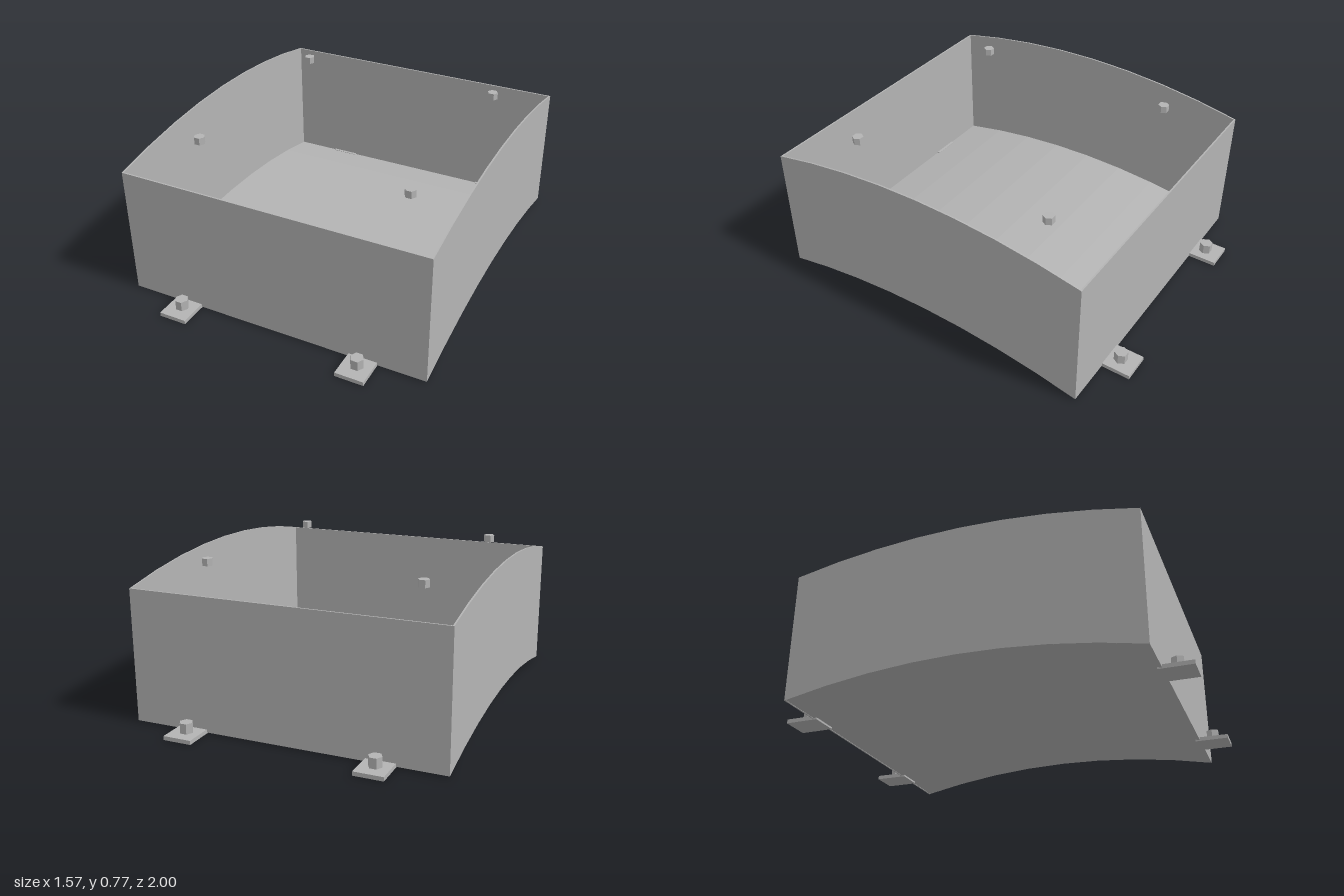
import * as THREE from 'three';

const W = 0.785, D = 0.858, T = 0.008; // half width, half depth, sheet thickness
const RISE = 0.095, EDGE = 0.005, HEIGHT = 0.658, STEPS = 8;

export function createModel() {
  const group = new THREE.Group();
  const metal = new THREE.MeshStandardMaterial({ color: 0xb4b4b4 });
  const add = (name, geometry, x = 0, y = 0, z = 0) => {
    const mesh = new THREE.Mesh(geometry, metal);
    mesh.name = name;
    mesh.position.set(x, y, z);
    group.add(mesh);
  };

  // Profile in the z-y plane bounded by two parallel arches, extruded across x
  const archedSheet = (half, height, width) => {
    const arch = z => EDGE + RISE * (1 - (z / D) ** 2);
    const points = [];
    for (let i = 0; i <= STEPS; i++) {
      const z = -half + (2 * half * i) / STEPS;
      points.push(new THREE.Vector2(z, arch(z)));
    }
    const upper = points.map(p => new THREE.Vector2(p.x, p.y + height)).reverse();
    const geometry = new THREE.ExtrudeGeometry(new THREE.Shape([...points, ...upper]), {
      depth: width, bevelEnabled: false,
    });
    return geometry.translate(0, 0, -width / 2).rotateY(-Math.PI / 2);
  };
  const hexStud = (radius, height) =>
    new THREE.CylinderGeometry(radius, radius, height, 6).toNonIndexed().rotateY(Math.PI / 6);
  const flat = geometry => { geometry.computeVertexNormals(); return geometry; };

  // Curved floor between the walls
  add('floor', archedSheet(D - T, T, 2 * (W - T)));

  for (const s of [-1, 1]) {
    // Arched side walls and straight end walls
    add(s > 0 ? 'leftWall' : 'rightWall', archedSheet(D, HEIGHT, T), s * (W - T / 2));
    add(s > 0 ? 'frontWall' : 'backWall',
      new THREE.BoxGeometry(2 * (W - T), HEIGHT, T), 0, EDGE + HEIGHT / 2, s * (D - T / 2));

    for (const e of [-1, 1]) {
      // Mounting tabs with hex bolts
      add('mountingTab', new THREE.BoxGeometry(0.143, 0.02, 0.165), s * 0.472, 0.01, e * 0.9175);
      add('tabBolt', flat(hexStud(0.033, 0.05)), s * 0.472, 0.045, e * 0.917);
      // Upper hex studs floating above the open top
      add('upperStud', flat(hexStud(0.028, 0.036)), s * 0.55, 0.748, e * 0.55);
    }
  }
  return group;
}
